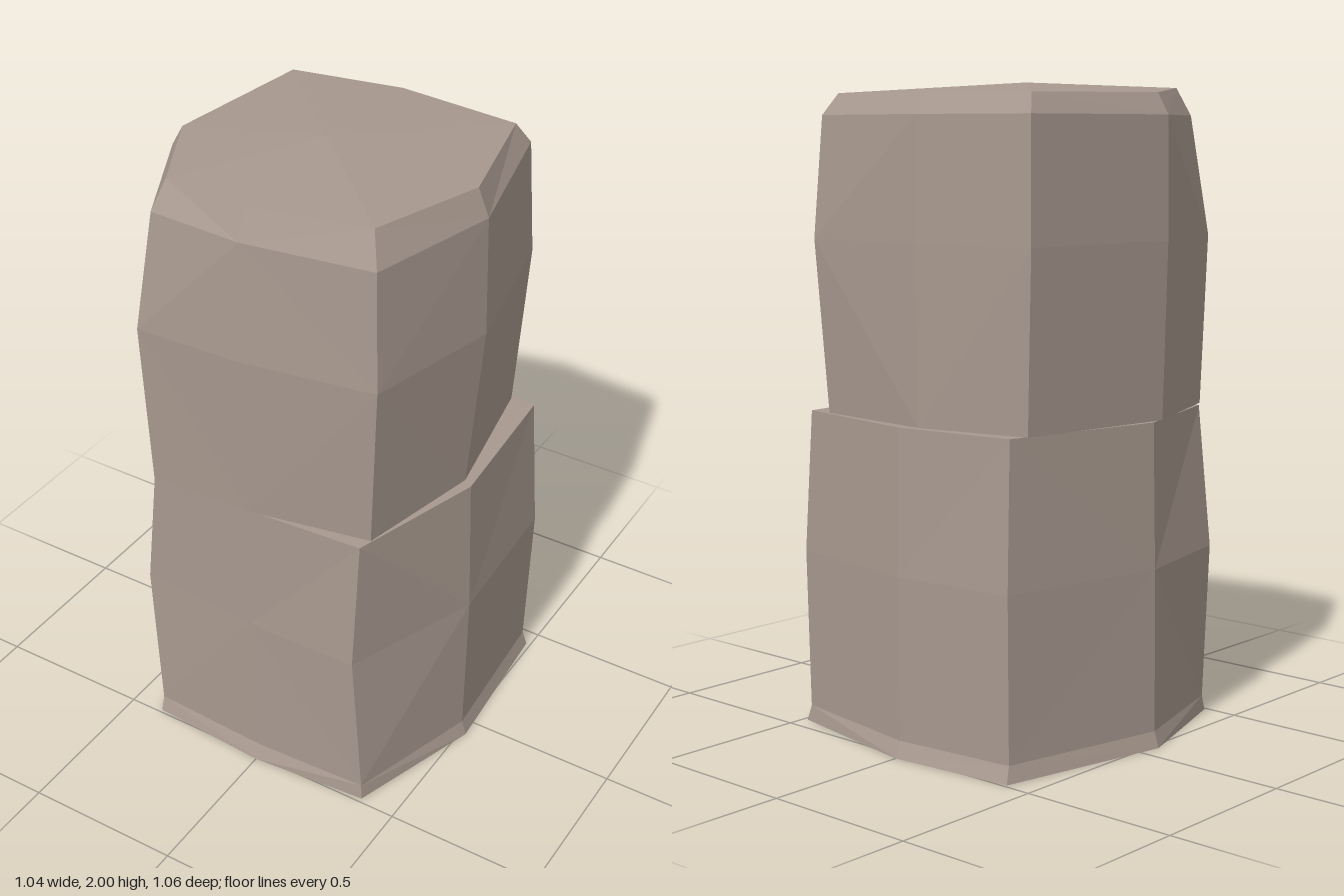
import * as THREE from 'three';

// Each ring lists eight [x, z] points, starting at the front left-hand corner
// and running anticlockwise seen from above; y is one height or one per point.
function buildBlock(name, rings, capCentre, material) {
  const loops = rings.map(({ y, pts }) =>
    pts.map(([x, z], i) => [x, Array.isArray(y) ? y[i] : y, z]));
  const pos = [];
  const tri = (a, b, c) => pos.push(...a, ...b, ...c);

  // Side walls, with the diagonals turned so they meet at the face middles
  for (let r = 0; r < loops.length - 1; r++) {
    const lo = loops[r], hi = loops[r + 1];
    for (let i = 0; i < 8; i++) {
      const j = (i + 1) % 8;
      if ((i + r) % 2) {
        tri(lo[i], lo[j], hi[j]);
        tri(lo[i], hi[j], hi[i]);
      } else {
        tri(lo[i], lo[j], hi[i]);
        tri(lo[j], hi[j], hi[i]);
      }
    }
  }
  // Top face as a fan; the underside stays open
  const top = loops[loops.length - 1];
  top.forEach((p, i) => tri(capCentre, p, top[(i + 1) % 8]));

  const geo = new THREE.BufferGeometry();
  geo.setAttribute('position', new THREE.Float32BufferAttribute(pos, 3));
  geo.computeVertexNormals();
  const mesh = new THREE.Mesh(geo, material);
  mesh.name = name;
  return mesh;
}

export function createModel() {
  const stone = new THREE.MeshStandardMaterial({ color: 0xa8998f, flatShading: true, side: THREE.DoubleSide });
  stone.name = 'warm grey stone';

  const group = new THREE.Group();
  group.name = 'stonePillar';

  // Lower block with a slightly flared foot
  group.add(buildBlock('lowerBlock', [
    { y: 0, pts: [[-0.39, 0.49], [0, 0.515], [0.38, 0.485], [0.52, 0.06], [0.485, -0.44], [0, -0.53], [-0.41, -0.49], [-0.525, 0.07]] },
    { y: 0.05, pts: [[-0.39, 0.475], [0, 0.495], [0.375, 0.48], [0.505, 0.06], [0.47, -0.435], [0, -0.51], [-0.4, -0.47], [-0.51, 0.07]] },
    { y: 0.55, pts: [[-0.42, 0.465], [-0.02, 0.495], [0.345, 0.49], [0.51, 0.06], [0.485, -0.435], [0, -0.515], [-0.4, -0.475], [-0.505, 0.07]] },
    { y: 0.995, pts: [[-0.37, 0.465], [0, 0.495], [0.36, 0.475], [0.49, 0.05], [0.455, -0.43], [0, -0.505], [-0.39, -0.455], [-0.495, 0.07]] },
  ], [0, 0.995, 0], stone));

  // Upper block with a bevelled, slightly tilted top
  group.add(buildBlock('upperBlock', [
    { y: 0.995, pts: [[-0.34, 0.51], [-0.01, 0.5], [0.37, 0.43], [0.46, 0.03], [0.375, -0.43], [-0.05, -0.475], [-0.41, -0.4], [-0.485, 0.125]] },
    { y: 1.53, pts: [[-0.35, 0.53], [-0.01, 0.52], [0.4, 0.455], [0.505, 0.03], [0.4, -0.46], [-0.05, -0.48], [-0.43, -0.41], [-0.5, 0.125]] },
    { y: 1.9, pts: [[-0.31, 0.485], [-0.01, 0.5], [0.385, 0.44], [0.495, 0.03], [0.385, -0.435], [-0.05, -0.475], [-0.425, -0.405], [-0.495, 0.125]] },
    { y: [1.985, 1.99, 2, 1.985, 1.965, 1.96, 1.96, 1.965], pts: [[-0.29, 0.435], [-0.01, 0.46], [0.35, 0.395], [0.46, 0.03], [0.35, -0.4], [-0.05, -0.44], [-0.4, -0.375], [-0.46, 0.12]] },
  ], [-0.04, 1.998, 0.01], stone));

  return group;
}
